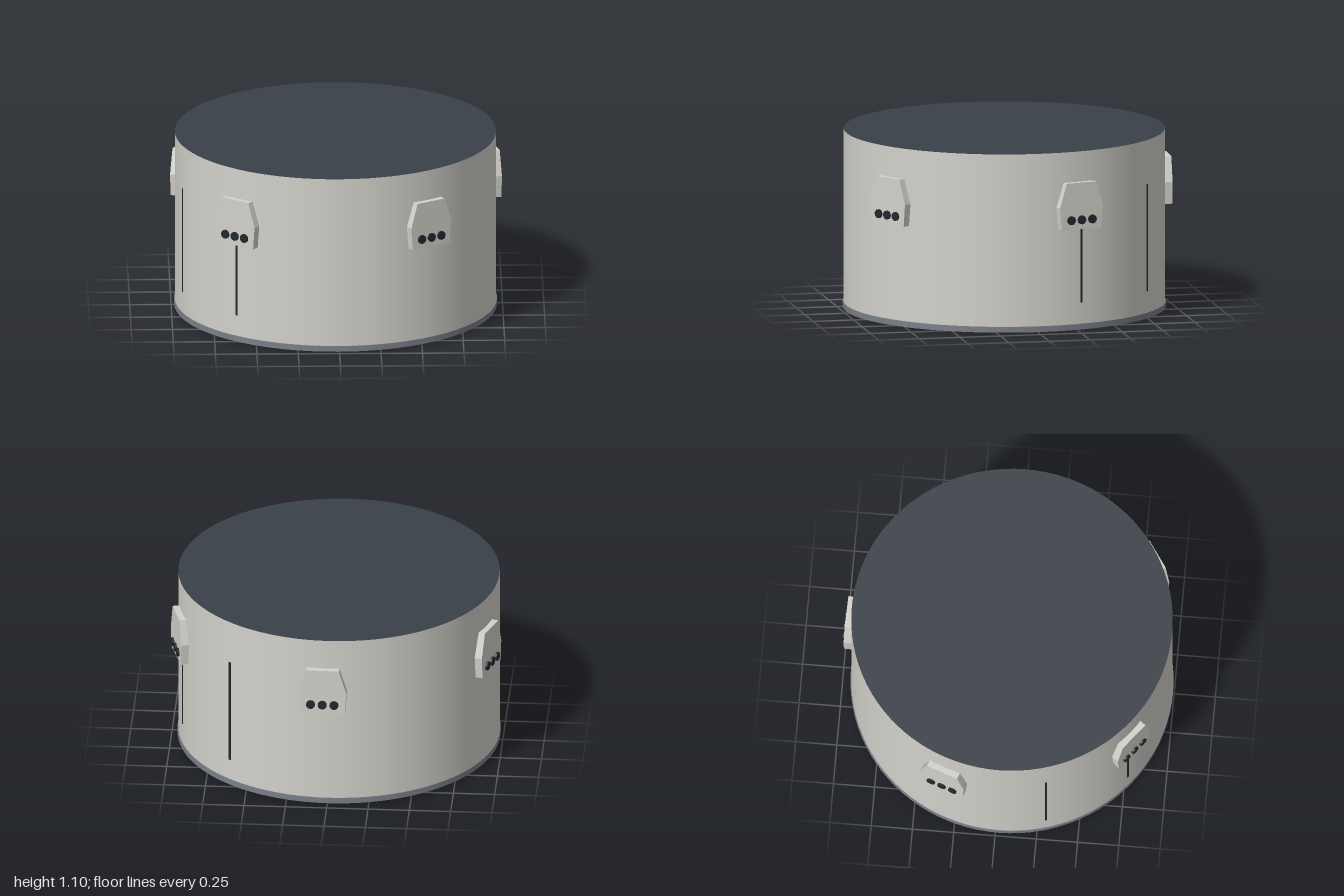
import * as THREE from 'three';

const RAD = Math.PI / 180;
const R = 0.97;          // drum radius
const TOP = 1.1;

const mat = (name, color) => {
  const m = new THREE.MeshStandardMaterial({ color });
  m.name = name;
  return m;
};

export function createModel() {
  const shell = mat('warm light grey', 0xd2d1ca);
  const trim = mat('mid grey', 0x7a7f88);
  const slate = mat('dark slate', 0x394048);
  const black = mat('near black', 0x22282e);

  const model = new THREE.Group();
  model.name = 'drumTank';
  const drum = new THREE.Group();
  drum.name = 'drum';
  drum.position.set(-0.008, 0, 0.019);
  model.add(drum);

  const add = (parent, name, geometry, material, x = 0, y = 0, z = 0) => {
    const mesh = new THREE.Mesh(geometry, material);
    mesh.name = name;
    mesh.position.set(x, y, z);
    parent.add(mesh);
    return mesh;
  };
  // Group turned about the drum axis so that its +z points outwards
  const spoke = (name, degrees) => {
    const g = new THREE.Group();
    g.name = name;
    g.rotation.y = degrees * RAD;
    drum.add(g);
    return g;
  };

  // Wall, top and base
  add(drum, 'wall', new THREE.CylinderGeometry(R, R, TOP - 0.045, 96, 1, true), shell, 0, (TOP + 0.045) / 2, 0);
  add(drum, 'lid', new THREE.CircleGeometry(R, 96).rotateX(-Math.PI / 2), slate, 0, TOP, 0);
  add(drum, 'baseRing', new THREE.CylinderGeometry(0.975, 0.975, 0.035, 96),
    [trim, trim, slate], 0, 0.0275, 0);

  // Small feet under the base
  const footGeo = new THREE.CylinderGeometry(0.018, 0.018, 0.012, 12);
  for (let i = 0; i < 4; i++) {
    const a = Math.atan2(0.78, 0.15) + i * Math.PI / 2;
    add(drum, 'foot', footGeo, slate, 0.794 * Math.sin(a), 0.006, 0.794 * Math.cos(a));
  }

  // Six-sided pods, each with three round ports
  const outline = new THREE.Shape([
    [-0.135, 0.63], [0.135, 0.63], [0.146, 0.765],
    [0.1, 0.915], [-0.1, 0.915], [-0.146, 0.765],
  ].map(([x, y]) => new THREE.Vector2(x, y)));
  const podGeo = new THREE.ExtrudeGeometry(outline, { depth: 0.065, bevelEnabled: false });
  const portGeo = new THREE.CylinderGeometry(0.027, 0.027, 0.023, 12).rotateX(Math.PI / 2);
  for (let i = 0; i < 5; i++) {
    const pod = spoke('pod', 34 + i * 72);
    add(pod, 'podBody', podGeo, shell, 0, 0, 0.941);
    for (const x of [-0.071, 0, 0.071]) add(pod, 'port', portGeo, black, x, 0.688, 1.007);
  }

  // Upright slots in the wall
  const slotGeo = new THREE.BoxGeometry(0.013, 0.655, 0.009);
  for (const degrees of [107, 141, 287, 321]) {
    add(spoke('slot', degrees), 'slotStrip', slotGeo, black, 0, 0.5025, R - 0.001);
  }

  return model;
}
